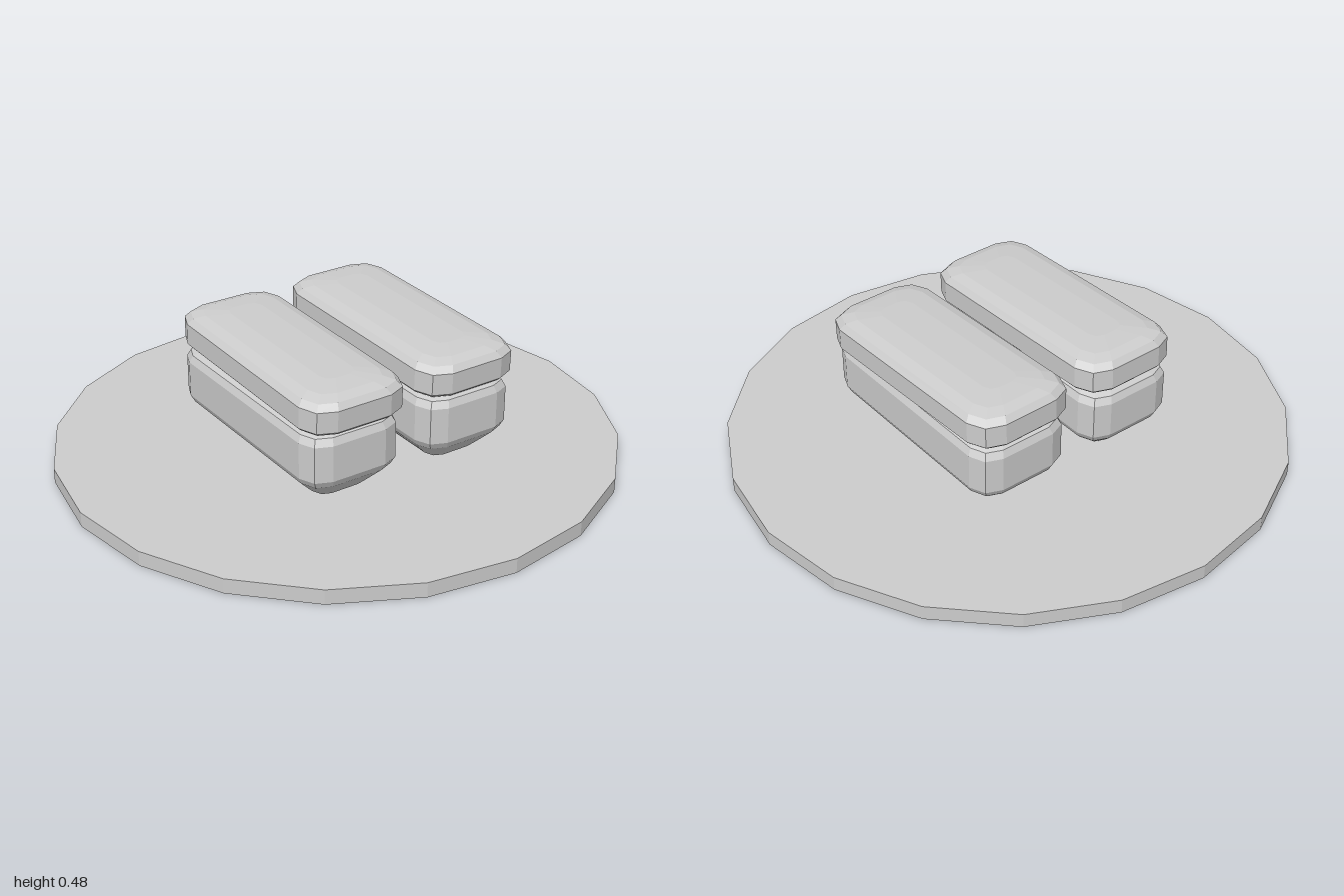
import * as THREE from 'three';

const material = new THREE.MeshStandardMaterial({ color: 0xcccccc, flatShading: true });

// Outline of a rectangle with faceted corners (12 points), running from +x towards +z
function roundedRing(halfX, halfZ, radius, y) {
  const points = [];
  for (let corner = 0; corner < 4; corner++) {
    const sx = corner === 0 || corner === 3 ? 1 : -1;
    const sz = corner < 2 ? 1 : -1;
    for (let k = 0; k < 3; k++) {
      const a = (corner + k / 2) * Math.PI / 2;
      points.push([
        sx * (halfX - radius) + radius * Math.cos(a),
        y,
        sz * (halfZ - radius) + radius * Math.sin(a),
      ]);
    }
  }
  return points;
}

// Closed block lofted through levels of [height, inset], bottom to top
function loftBlock(name, halfX, halfZ, radius, levels) {
  const n = 12;
  const positions = [];
  const index = [];
  for (const [y, inset] of levels) {
    const r = Math.max(radius - inset * 0.4, 0.03);
    for (const p of roundedRing(halfX - inset, halfZ - inset, r, y)) positions.push(...p);
  }
  for (let l = 0; l < levels.length - 1; l++) {
    for (let i = 0; i < n; i++) {
      const a = l * n + i, b = l * n + (i + 1) % n;
      index.push(a, a + n, b, b, a + n, b + n);
    }
  }
  // Flat caps
  const top = (levels.length - 1) * n;
  for (let i = 1; i < n - 1; i++) {
    index.push(0, i, i + 1);
    index.push(top, top + i + 1, top + i);
  }
  const geometry = new THREE.BufferGeometry();
  geometry.setAttribute('position', new THREE.Float32BufferAttribute(positions, 3));
  geometry.setIndex(index);
  geometry.computeVertexNormals();
  const mesh = new THREE.Mesh(geometry, material);
  mesh.name = name;
  return mesh;
}

// Rice block with a slightly tilted slice resting on it
function createPiece(name, riceX, sliceX, sliceZ, yaw) {
  const piece = new THREE.Group();
  piece.name = name;

  const rice = loftBlock('riceBlock', 0.183, 0.435, 0.08, [
    [0.065, 0.085], [0.09, 0.06], [0.14, 0.012], [0.165, 0],
    [0.295, 0], [0.32, 0.012], [0.337, 0.045],
  ]);
  rice.position.set(riceX, 0, 0.02);

  const slice = loftBlock('topSlice', 0.194, 0.444, 0.09, [
    [-0.066, 0.03], [-0.057, 0.01], [-0.046, 0],
    [0.03, 0], [0.051, 0.018], [0.063, 0.055], [0.07, 0.13],
  ]);
  slice.position.set(sliceX, 0.404, sliceZ);
  slice.rotation.set(0.028, yaw, 0);

  piece.add(rice, slice);
  return piece;
}

export function createModel() {
  const model = new THREE.Group();
  model.name = 'plateWithRicePieces';

  // Round faceted plate
  const plate = new THREE.Mesh(new THREE.CylinderGeometry(1, 1, 0.053, 20), material);
  plate.name = 'plate';
  plate.position.y = 0.0265;
  model.add(plate);

  model.add(createPiece('rightPiece', -0.215, -0.205, 0.021, 0.006));
  model.add(createPiece('leftPiece', 0.248, 0.256, 0.01, 0.012));
  return model;
}
